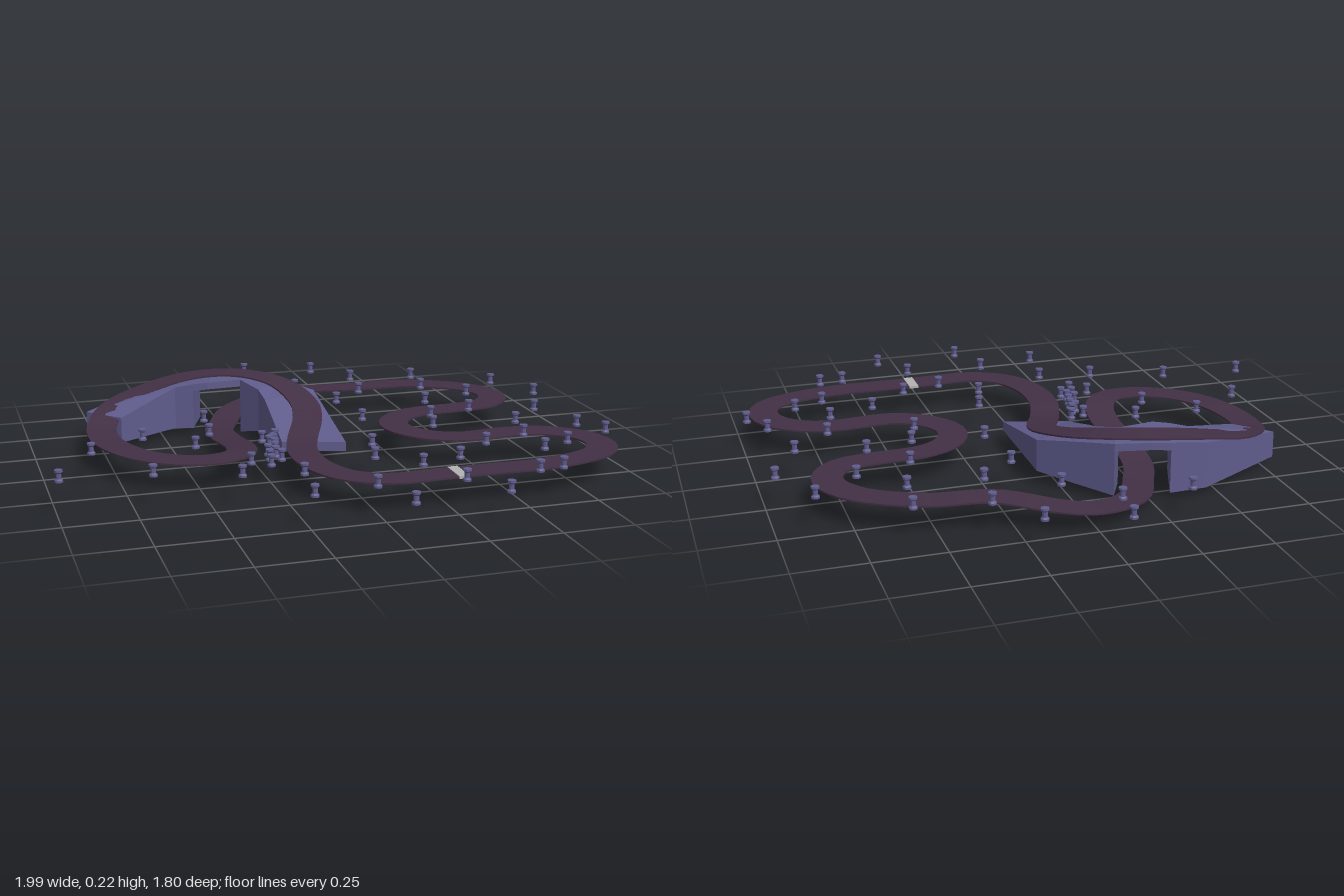
import * as THREE from 'three';

const material = (name, color) => {
  const m = new THREE.MeshStandardMaterial({ color });
  m.name = name;
  return m;
};

// Flat-faced loft through four-cornered sections: left top, right top, right bottom, left bottom.
function loft(sections, closed) {
  const pos = [];
  const quad = (a, b, c, d) => [a, b, c, a, c, d].forEach((p) => pos.push(p.x, p.y, p.z));
  const n = sections.length;
  for (let i = 0; i < (closed ? n : n - 1); i++) {
    const s = sections[i], t = sections[(i + 1) % n];
    for (let k = 0; k < 4; k++) quad(s[k], s[(k + 1) % 4], t[(k + 1) % 4], t[k]);
  }
  if (!closed) {
    const s = sections[0], e = sections[n - 1];
    quad(s[3], s[2], s[1], s[0]);
    quad(e[0], e[1], e[2], e[3]);
  }
  const g = new THREE.BufferGeometry();
  g.setAttribute('position', new THREE.Float32BufferAttribute(pos, 3));
  g.computeVertexNormals();
  return g;
}

// Track centre line [x, z], with heights where it leaves the level
const Y = 0.1;
const lap = [
  [0.06, 0.61], [0.25, 0.61], [0.42, 0.61], [0.6, 0.61], [0.74, 0.585], [0.86, 0.53], [0.905, 0.46],
  [0.905, 0.38], [0.86, 0.3], [0.76, 0.235], [0.66, 0.22], [0.47, 0.23], [0.37, 0.185],
  [0.3, 0.1], [0.285, 0.015], [0.33, -0.075], [0.43, -0.13], [0.62, -0.145], [0.72, -0.165],
  [0.785, -0.235], [0.795, -0.315], [0.755, -0.4], [0.69, -0.465], [0.52, -0.55],
  [0.3, -0.575, 0.095], [0.12, -0.665, 0.075], [0.01, -0.685, 0.06], [-0.1, -0.65, 0.047],
  [-0.19, -0.575, 0.036], [-0.25, -0.45, 0.03], [-0.3, -0.32, 0.036], [-0.312, -0.16, 0.052],
  [-0.307, 0.05, 0.078], [-0.33, 0.155, 0.092], [-0.38, 0.22], [-0.46, 0.24], [-0.56, 0.215],
  [-0.665, 0.135], [-0.735, 0.015], [-0.766, -0.13], [-0.75, -0.27, 0.11], [-0.7, -0.37, 0.139],
  [-0.61, -0.45, 0.162], [-0.44, -0.5, 0.2], [-0.29, -0.497, 0.216], [-0.16, -0.45, 0.215],
  [-0.05, -0.35, 0.195], [-0.003, -0.19, 0.156], [-0.02, -0.08, 0.13], [-0.085, 0.08, 0.101],
  [-0.13, 0.24], [-0.125, 0.4], [-0.065, 0.535],
];

function trackGeometry() {
  const curve = new THREE.CatmullRomCurve3(
    lap.map(([x, z, y = Y]) => new THREE.Vector3(x, y, z)), true, 'centripetal');
  const N = 180, half = 0.054, thick = 0.006, sections = [];
  for (let i = 0; i < N; i++) {
    const p = curve.getPointAt(i / N), t = curve.getTangentAt(i / N);
    const side = new THREE.Vector3(t.z, 0, -t.x).normalize().multiplyScalar(half);
    const l = p.clone().add(side), r = p.clone().sub(side);
    const down = (v) => v.clone().setY(v.y - thick);
    sections.push([l, r, down(r), down(l)]);
  }
  return loft(sections, true);
}

// Bridge sections: outer x, z, inner x, z, top, outer bottom, inner bottom.
// Repeated plan points with a different bottom form the tunnel walls.
const bridgeRows = [
  [-0.79, -0.39, -0.68, -0.27, 0.125, 0.03, 0.03],
  [-0.45, -0.57, -0.45, -0.405, 0.19, 0.025, 0.03],
  [-0.32, -0.565, -0.385, -0.385, 0.202, 0.02, 0.03],
  [-0.32, -0.565, -0.385, -0.385, 0.202, 0.175, 0.175],
  [-0.25, -0.56, -0.33, -0.37, 0.208, 0.182, 0.182],
  [-0.13, -0.53, -0.2, -0.385, 0.207, 0.18, 0.18],
  [-0.13, -0.53, -0.2, -0.385, 0.207, 0.02, 0],
  [-0.02, -0.41, -0.15, -0.3, 0.185, 0.035, 0.022],
  [0.072, -0.31, -0.145, -0.22, 0.165, 0.05, 0.04],
  [0.065, 0.12, -0.155, 0.055, 0.08, 0.046, 0.046],
];

function bridgeGeometry() {
  return loft(bridgeRows.map(([ox, oz, ix, iz, top, ob, ib]) => [
    new THREE.Vector3(ox, top, oz), new THREE.Vector3(ix, top, iz),
    new THREE.Vector3(ix, ib, iz), new THREE.Vector3(ox, ob, oz),
  ]), false);
}

// Trackside posts [x, z]
const posts = [
  [-0.06, -0.89], [0.21, -0.82], [-0.08, -0.74], [-0.33, -0.73], [0.07, -0.57], [0.33, -0.65],
  [0.58, -0.61], [0.3, -0.45], [0.56, -0.44], [0.86, -0.43], [0.17, -0.33], [0.7, -0.3],
  [0.5, -0.23], [0.96, -0.23], [0.19, -0.07], [0.45, -0.04], [0.62, 0.08 - 0.16], [0.86, -0.01],
  [0.41, 0.09], [0.72, 0.13], [0.12, 0.25], [0.92, 0.23], [0.68, 0.29], [0.51, 0.35],
  [0.98, 0.34], [0.08, 0.4], [0.79, 0.42], [0.36, 0.48], [0.68, 0.47], [0.21, 0.52],
  [-0.01, 0.69], [0.29, 0.71], [0.56, 0.69], [0.65, 0.68], [0.05, 0.88], [0.38, 0.86],
  [-0.23, 0.72], [-0.2, 0.5], [-0.4, 0.46], [-0.68, 0.37], [-0.985, 0.34], [-0.84, 0.07],
  [-0.64, -0.05], [-0.4, -0.04], [-0.38, -0.22], [-0.48, 0.1],
];
// Lower cluster of posts between the two straights
const lowPosts = [
  [-0.33, 0.3], [-0.27, 0.34], [-0.26, 0.28], [-0.22, 0.29], [-0.25, 0.22], [-0.23, 0.25],
  [-0.22, 0.2], [-0.22, 0.12], [-0.21, 0.155], [-0.2, 0.1], [-0.23, 0.06], [-0.18, 0.05],
];

// Spool-shaped post: wide foot and cap with a narrow waist
function postGeometry() {
  const profile = [[0, 0], [0.0145, 0], [0.0145, 0.007], [0.009, 0.012], [0.009, 0.03],
    [0.0145, 0.035], [0.0145, 0.042], [0, 0.042]].map(([r, y]) => new THREE.Vector2(r, y));
  const g = new THREE.LatheGeometry(profile, 10).toNonIndexed();
  g.computeVertexNormals();
  return g;
}

export function createModel() {
  const asphalt = material('asphalt', 0x433045);
  const slate = material('slate purple', 0x5f5c8c);
  const pale = material('pale grey', 0xb2b2b0);

  const model = new THREE.Group();
  model.name = 'raceTrack';
  const add = (name, geometry, mat, parent = model) => {
    const mesh = new THREE.Mesh(geometry, mat);
    mesh.name = name;
    parent.add(mesh);
    return mesh;
  };

  add('track', trackGeometry(), asphalt);
  add('bridge', bridgeGeometry(), slate);
  add('startLine', new THREE.BoxGeometry(0.036, 0.009, 0.11), pale).position.set(0.3, 0.097, 0.61);

  const postGroup = new THREE.Group();
  postGroup.name = 'posts';
  model.add(postGroup);
  const shape = postGeometry();
  const plant = (list, y) => list.forEach(([x, z]) =>
    add('post', shape, slate, postGroup).position.set(x, y, z));
  plant(posts, 0.1);
  plant(lowPosts, 0.088);
  return model;
}
